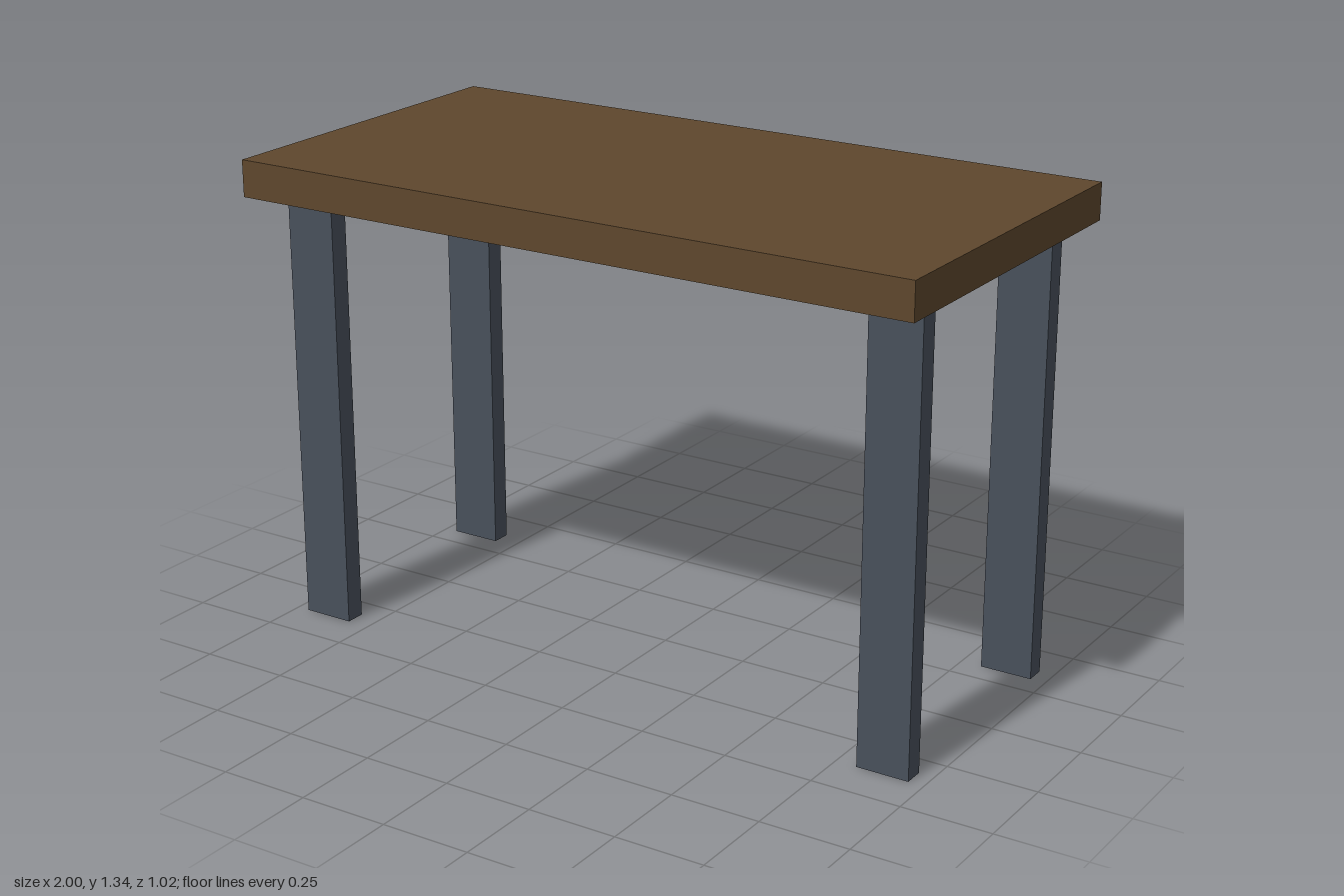
import * as THREE from 'three';

const LEG_HEIGHT = 1.237;
const TOP_THICKNESS = 0.102;

export function createModel() {
  const table = new THREE.Group();
  table.name = 'table';

  const wood = new THREE.MeshStandardMaterial({ color: 0x5e472d, flatShading: true });
  const metal = new THREE.MeshStandardMaterial({ color: 0x48505b, flatShading: true });

  // Box placed by the centre of its base
  const addBox = (name, size, x, y, z, material) => {
    const mesh = new THREE.Mesh(new THREE.BoxGeometry(...size), material);
    mesh.name = name;
    mesh.position.set(x, y + size[1] / 2, z);
    table.add(mesh);
  };

  // Tabletop slab
  addBox('tabletop', [2, TOP_THICKNESS, 1.02], 0, LEG_HEIGHT, 0, wood);

  // Four flat legs, wide across the front
  for (const [side, x] of [['Left', 0.883], ['Right', -0.89]]) {
    for (const [end, z] of [['front', 0.347], ['back', -0.35]]) {
      addBox(`${end}${side}Leg`, [0.147, LEG_HEIGHT, 0.057], x, 0, z, metal);
    }
  }

  return table;
}
